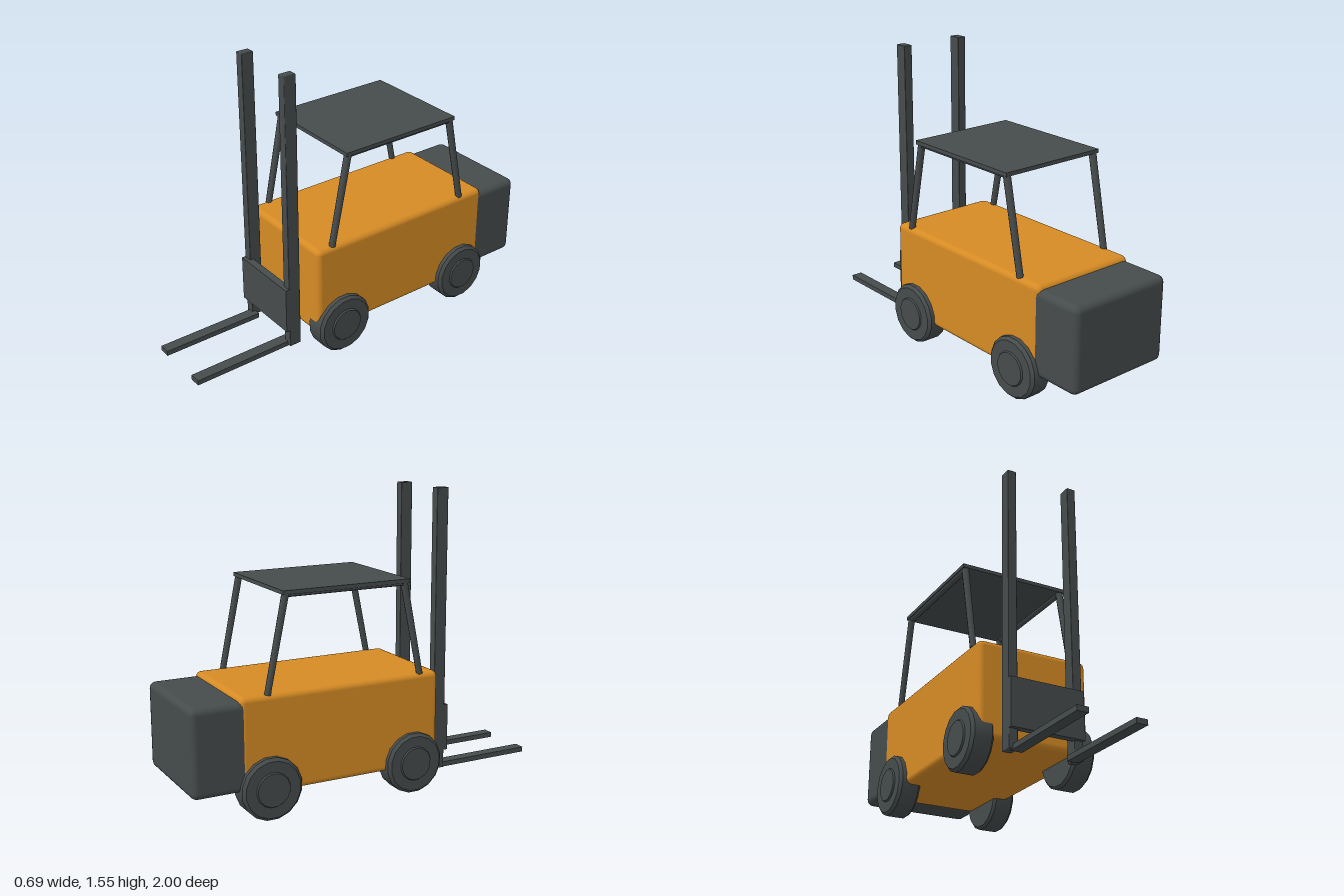
import * as THREE from 'three';
import { toCreasedNormals } from 'three/addons/utils/BufferGeometryUtils.js';
import { RoundedBoxGeometry } from 'three/addons/geometries/RoundedBoxGeometry.js';

export function createModel() {
  const group = new THREE.Group();
  const orange = new THREE.MeshStandardMaterial({ color: 0xd68b24 });
  orange.name = 'orange paint';
  const dark = new THREE.MeshStandardMaterial({ color: 0x464b4c });
  dark.name = 'dark steel';

  const add = (name, geometry, material) => {
    const mesh = new THREE.Mesh(geometry, material);
    mesh.name = name;
    group.add(mesh);
    return mesh;
  };

  // Box given by its limits on each axis; a bevel rounds its edges
  const block = (name, [x0, x1], [y0, y1], [z0, z1], material, bevel = 0) => {
    const size = [x1 - x0, y1 - y0, z1 - z0];
    const geometry = bevel ? new RoundedBoxGeometry(...size, 2, bevel) : new THREE.BoxGeometry(...size);
    add(name, geometry, material).position.set((x0 + x1) / 2, (y0 + y1) / 2, (z0 + z1) / 2);
  };

  // Round bar between two points
  const bar = (name, a, b, r0, r1) => {
    const dir = b.clone().sub(a);
    const mesh = add(name, new THREE.CylinderGeometry(r1, r0, dir.length(), 8), dark);
    mesh.position.copy(a).add(b).multiplyScalar(0.5);
    mesh.quaternion.setFromUnitVectors(new THREE.Vector3(0, 1, 0), dir.normalize());
  };

  // Body and counterweight
  block('body', [-0.3, 0.3], [0.13, 0.627], [-0.75, 0.352], orange, 0.03);
  block('counterweight', [-0.298, 0.298], [0.155, 0.605], [-1, -0.7], dark, 0.035);

  // Overhead guard
  block('roof', [-0.3, 0.3], [1.1, 1.12], [-0.52, 0.175], dark);

  // Wheel profile: bevelled tyre with a raised hub on the outer face
  const profile = [
    [0, -0.06], [0.147, -0.06], [0.16, -0.047], [0.16, 0.045],
    [0.145, 0.06], [0.09, 0.06], [0.085, 0.068], [0, 0.068],
  ].map(([r, y]) => new THREE.Vector2(r, y));
  const wheelGeometry = toCreasedNormals(new THREE.LatheGeometry(profile, 16, Math.PI / 16), 0.6);

  for (const side of [-1, 1]) {
    const prefix = side > 0 ? 'left' : 'right';
    const span = (a, b) => (side > 0 ? [a, b] : [-b, -a]);

    // Guard posts and side rails
    const p = (y, z) => new THREE.Vector3(side * 0.279, y, z);
    bar(prefix + 'FrontPost', p(0.62, 0.25), p(1.1, 0.153), 0.017, 0.019);
    bar(prefix + 'RearPost', p(0.62, -0.6), p(1.1, -0.5), 0.017, 0.019);
    bar(prefix + 'RoofRail', p(1.1, 0.153), p(1.1, -0.5), 0.016, 0.016);

    // Mast and fork
    block(prefix + 'MastRail', span(0.152, 0.2), [0.055, 1.552], [0.393, 0.46], dark, 0.004);
    block(prefix + 'Fork', span(0.12, 0.18), [0.05, 0.077], [0.44, 1], dark);

    // Wheels
    for (const [label, z] of [['Front', 0.2], ['Rear', -0.6]]) {
      const wheel = add(prefix + label + 'Wheel', wheelGeometry, dark);
      wheel.position.set(side * 0.276, 0.16, z);
      wheel.rotation.z = -side * Math.PI / 2;
    }
  }

  // Fork carriage
  block('carriage', [-0.2, 0.2], [0.153, 0.403], [0.44, 0.48], dark);

  return group;
}
